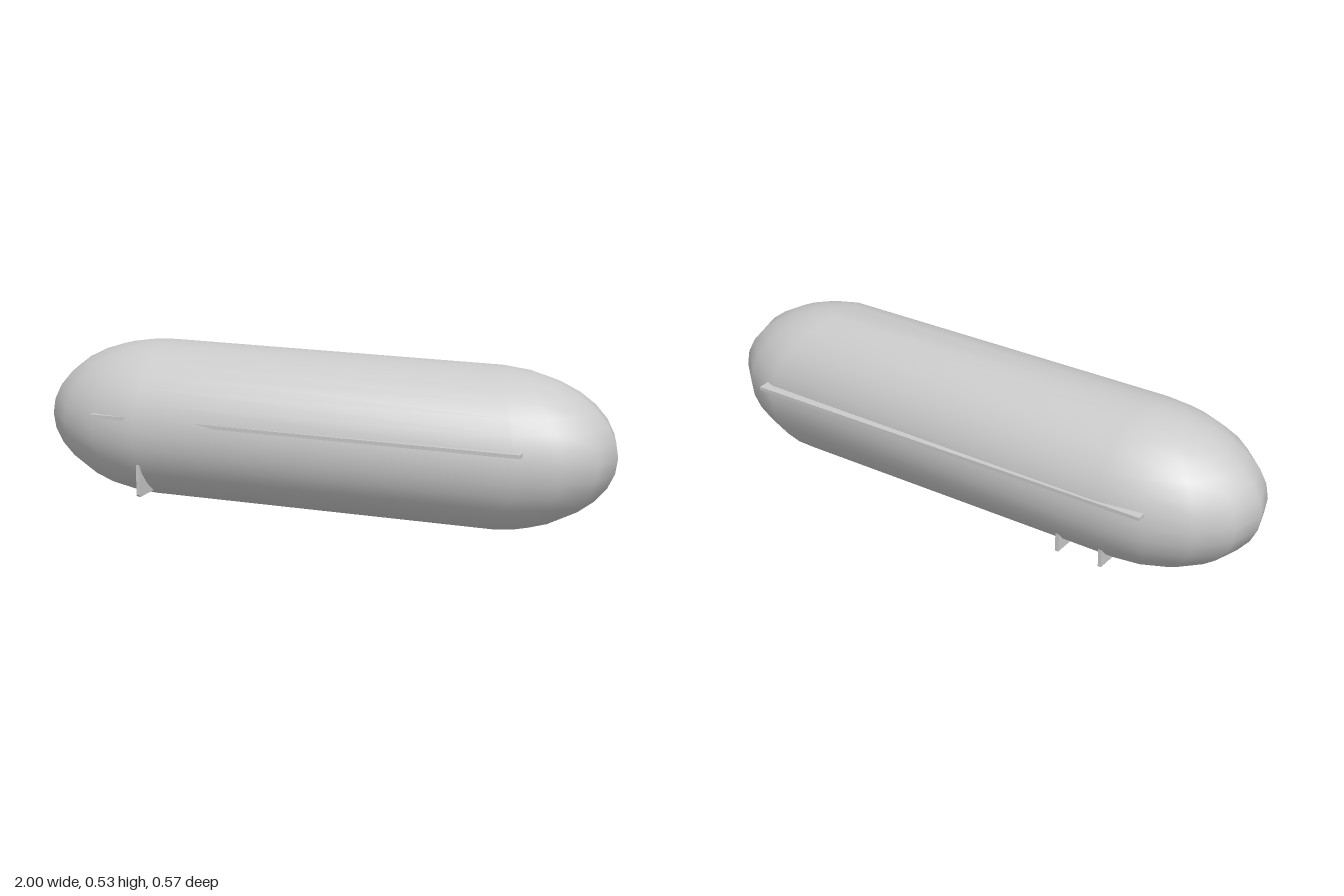
import * as THREE from 'three';

const material = new THREE.MeshStandardMaterial({ color: 0xcccccc });

// Box given by its lower and upper corners
function addBox(group, name, min, max) {
  const size = max.map((v, i) => v - min[i]);
  const mesh = new THREE.Mesh(new THREE.BoxGeometry(...size), material);
  mesh.position.set(...max.map((v, i) => (v + min[i]) / 2));
  mesh.name = name;
  group.add(mesh);
}

// Low-poly ellipsoid whose +x half is pulled out to form a long hull;
// the middle meridian stays at the -x end, so the hull tapers slightly
function createHull() {
  const geometry = new THREE.SphereGeometry(1, 16, 16);
  geometry.scale(0.43, 0.266, 0.283);
  const pos = geometry.attributes.position;
  for (let i = 0; i < pos.count; i++) {
    const x = pos.getX(i);
    pos.setX(i, x + (x > 0.001 ? 0.57 : -0.57));
  }
  const hull = new THREE.Mesh(geometry, material);
  hull.position.y = 0.266;
  hull.name = 'hull';
  return hull;
}

// Thin plate under the hull, standing across its length
function addFin(group, name, x, outerZ, chamfer) {
  const s = Math.sign(outerZ), z = Math.abs(outerZ);
  const shape = new THREE.Shape();
  shape.moveTo(0.1, 0.042);
  shape.lineTo(z - chamfer, 0.042);
  shape.lineTo(z, 0.042 + chamfer);
  shape.lineTo(z, z > 0.24 ? 0.155 : 0.115);
  shape.lineTo(0.1, 0.155);
  const geometry = new THREE.ExtrudeGeometry(shape, { depth: 0.012, bevelEnabled: false });
  geometry.translate(0, 0, -0.006);
  geometry.rotateY(-s * Math.PI / 2);
  const fin = new THREE.Mesh(geometry, material);
  fin.position.x = x;
  fin.name = name;
  group.add(fin);
}

export function createModel() {
  const group = new THREE.Group();
  group.name = 'capsuleHull';
  group.add(createHull());

  // Long side rails, the front one partly sunk into the hull
  addBox(group, 'frontRail', [-0.73, 0.305, 0.242], [0.76, 0.317, 0.274]);
  addBox(group, 'backRail', [-0.73, 0.305, -0.287], [0.76, 0.317, -0.238]);

  // Small lower fins near the -x end
  addFin(group, 'frontFin', -0.567, 0.255, 0.007);
  addFin(group, 'backFinOuter', -0.56, -0.225, 0);
  addFin(group, 'backFinInner', -0.40, -0.225, 0);
  return group;
}
